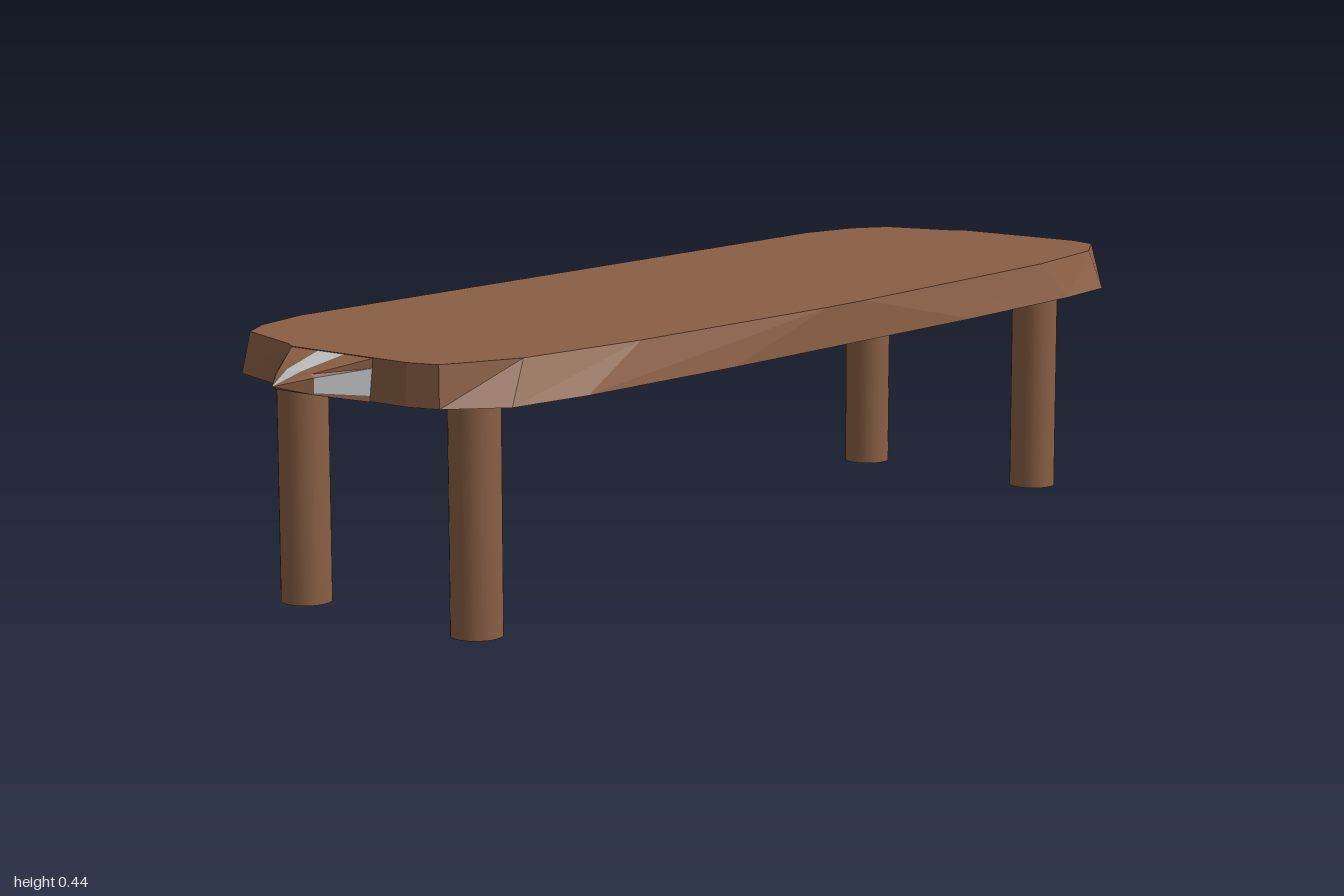
import * as THREE from 'three';

const brown = new THREE.MeshStandardMaterial({ color: 0x8a5f44, flatShading: true });
brown.name = 'brown wood';
const legBrown = new THREE.MeshStandardMaterial({ color: 0x8a5f44 });
legBrown.name = 'smooth brown wood';
const silver = new THREE.MeshStandardMaterial({ color: 0xbfc2c3, flatShading: true });
silver.name = 'pale silver';

function meshFromTriangles(name, points, material) {
  const geometry = new THREE.BufferGeometry();
  geometry.setAttribute('position', new THREE.Float32BufferAttribute(points.flat(), 3));
  geometry.computeVertexNormals();
  const mesh = new THREE.Mesh(geometry, material);
  mesh.name = name;
  return mesh;
}

// Rounded plank: each row is top x, top z, bottom x, bottom z
function createTableTop() {
  const rim = [
    [-0.305, -0.68, -0.305, -0.68], [-0.305, 0.65, -0.305, 0.65],
    [-0.28, 0.76, -0.285, 0.77], [-0.245, 0.82, -0.255, 0.83],
    [-0.115, 0.865, -0.115, 0.875], [-0.09, 0.88, -0.09, 0.885],
    [0.15, 0.88, 0.15, 0.885], [0.2, 0.865, 0.205, 0.87],
    [0.255, 0.74, 0.277, 0.79], [0.282, 0.5, 0.296, 0.64],
    [0.3, 0.05, 0.305, 0.3], [0.3, -0.05, 0.305, -0.35],
    [0.28, -0.6, 0.296, -0.66], [0.25, -0.8, 0.28, -0.8],
    [0.2, -0.885, 0.205, -0.89], [0.15, -0.903, 0.15, -0.903],
    [-0.09, -0.9, -0.09, -0.903], [-0.115, -0.885, -0.115, -0.892],
    [-0.24, -0.85, -0.25, -0.855], [-0.28, -0.79, -0.285, -0.79],
  ];
  const yTop = 0.438, yBottom = 0.372, tris = [];
  rim.forEach((p, i) => {
    const q = rim[(i + 1) % rim.length];
    const a = [p[0], yTop, p[1]], b = [q[0], yTop, q[1]];
    const c = [p[2], yBottom, p[3]], d = [q[2], yBottom, q[3]];
    tris.push(c, d, b, c, b, a);
    tris.push([0, yTop, 0], a, b, [0, yBottom, 0], d, c);
  });
  return meshFromTriangles('tableTop', tris, brown);
}

// Faceted end point; side is +1 for the front and -1 for the back
function createEndPoint(name, side) {
  // Base and middle rings, anticlockwise from the front
  const base = [
    [-0.092, 0.37], [0.08, 0.37], [0.08, 0.38], [0.08, 0.422], [0.08, 0.437],
    [0.02, 0.437], [-0.035, 0.437], [-0.092, 0.437], [-0.092, 0.42], [-0.092, 0.382],
  ];
  const middle = [
    [-0.05, 0.386], [0.031, 0.386], [0.031, 0.389], [0.031, 0.412], [0.025, 0.417],
    [0.004, 0.419], [-0.026, 0.419], [-0.043, 0.417], [-0.05, 0.411], [-0.05, 0.39],
  ];
  const baseZ = side > 0 ? 0.88 : 0.9;
  const tip = [-0.012, side > 0 ? 0.4 : 0.408, side];
  const wood = [], metal = [];
  const add = (list, a, b, c) => list.push(...(side > 0 ? [a, b, c] : [a, c, b]));
  base.forEach((p, i) => {
    const j = (i + 1) % base.length;
    const a = [...p, side * baseZ], b = [...base[j], side * baseZ];
    const c = [...middle[i], side * 0.955], d = [...middle[j], side * 0.955];
    const topFacet = i === 5, sideFacet = i === 2 || i === 8;
    const skirt = topFacet || sideFacet ? metal : wood;
    add(skirt, a, b, d);
    add(skirt, a, d, c);
    add(topFacet && side > 0 ? metal : wood, c, d, tip);
  });
  const group = new THREE.Group();
  group.name = name;
  group.add(meshFromTriangles('pointWood', wood, brown));
  group.add(meshFromTriangles('pointInlay', metal, silver));
  return group;
}

export function createModel() {
  const model = new THREE.Group();
  model.name = 'lowTable';
  model.add(createTableTop());
  model.add(createEndPoint('frontPoint', 1), createEndPoint('backPoint', -1));

  // Four round legs
  const legs = [
    ['frontRightLeg', -0.209, 0.744], ['frontLeftLeg', 0.158, 0.744],
    ['backRightLeg', -0.221, -0.764], ['backLeftLeg', 0.158, -0.764],
  ];
  const legGeometry = new THREE.CylinderGeometry(0.041, 0.041, 0.374, 32);
  for (const [name, x, z] of legs) {
    const leg = new THREE.Mesh(legGeometry, legBrown);
    leg.name = name;
    leg.position.set(x, 0.187, z);
    model.add(leg);
  }
  return model;
}
